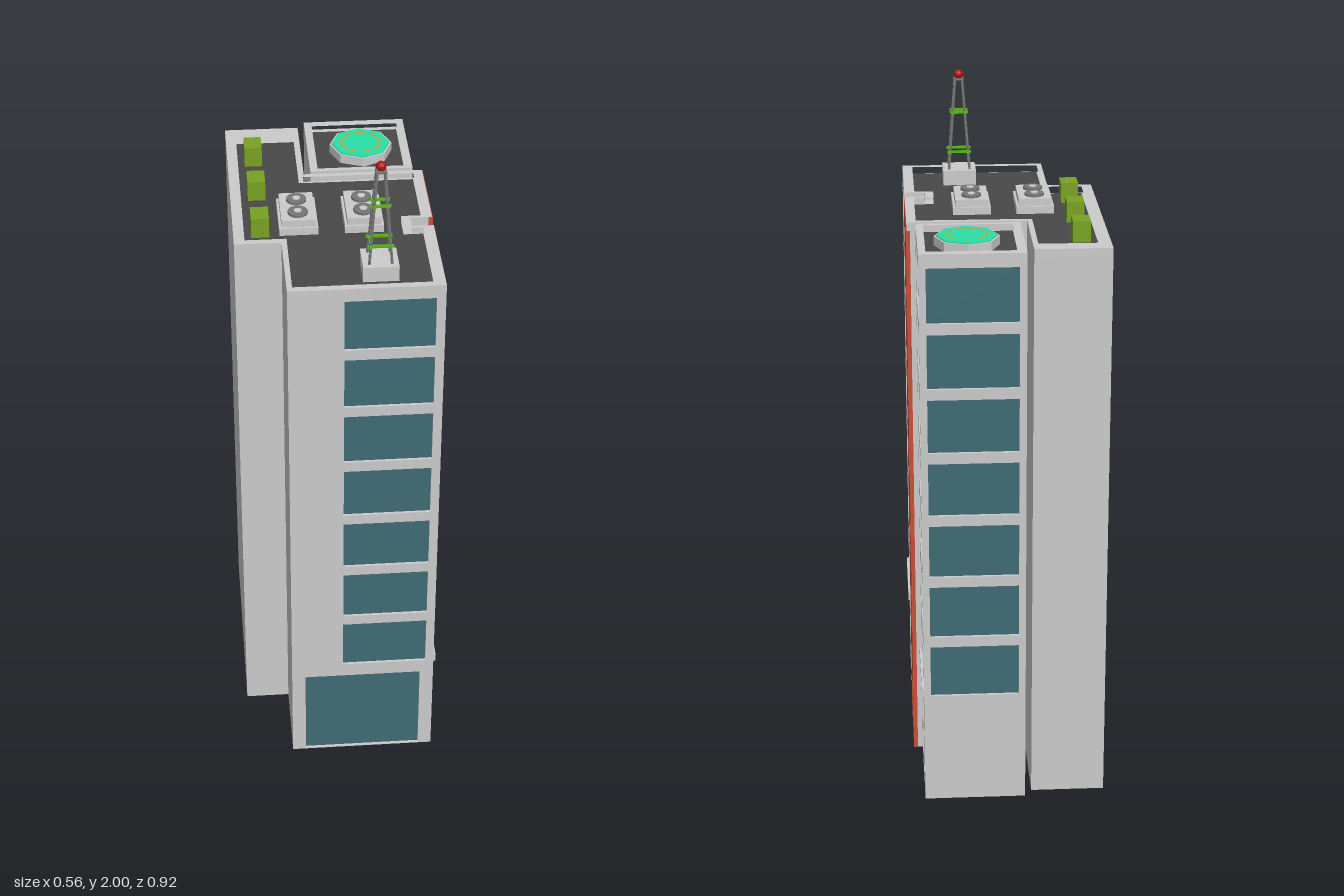
import * as THREE from 'three';

const mat = (color) => new THREE.MeshStandardMaterial({ color, flatShading: true });
const GREY = mat(0xcccccc), GLASS = mat(0x3f6b73), RED = mat(0xc94f38), ROOF = mat(0x484848);
const LIME = mat(0x78a322), PAD = mat(0x28dfa8), GOLD = mat(0xc9a32e), DARK = mat(0x777777);
const RUNG = mat(0x55b814), LAMP = mat(0xb01410);

const TOP = 1.68, DECK = 1.66, SKIN = 0.01;

export function createModel() {
  const model = new THREE.Group();
  const add = (name, geo, material, x = 0, y = 0, z = 0, parent = model) => {
    const mesh = new THREE.Mesh(geo, material);
    mesh.name = name;
    mesh.position.set(x, y, z);
    parent.add(mesh);
    return mesh;
  };
  const box = (name, w, h, d, material, x, y, z, parent) =>
    add(name, new THREE.BoxGeometry(w, h, d), material, x, y, z, parent);

  // Plan outlines are [x, z] pairs; slabs rise from y0 to y1
  const outline = (pts, Type = THREE.Shape) => new Type(pts.map(([x, z]) => new THREE.Vector2(x, -z)));
  const slab = (name, pts, y0, y1, material, hole) => {
    const shape = outline(pts);
    if (hole) shape.holes.push(outline(hole, THREE.Path));
    const geo = new THREE.ExtrudeGeometry(shape, { depth: y1 - y0, bevelEnabled: false });
    add(name, geo.rotateX(-Math.PI / 2), material, 0, y0, 0);
  };
  const rect = (x0, z0, x1, z1) => [[x0, z0], [x1, z0], [x1, z1], [x0, z1]];

  // Main block: e and f are the east and front wall planes
  const mainPlan = (e, f) => [[-0.28, -0.43], [-0.065, -0.43], [-0.065, -0.155], [e, -0.155], [e, 0.105],
    [0.215, 0.105], [0.215, 0.15], [e, 0.15], [e, f], [-0.15, f], [-0.15, 0.21], [-0.28, 0.21]];
  const mainDeck = [[-0.25, -0.38], [-0.08, -0.38], [-0.08, -0.14], [0.248, -0.138], [0.248, 0.095],
    [0.19, 0.095], [0.19, 0.16], [0.245, 0.16], [0.245, 0.435], [-0.135, 0.435], [-0.135, 0.19], [-0.25, 0.19]];
  slab('mainBlock', mainPlan(0.265, 0.445), 0, DECK - 0.005, GREY);
  slab('mainParapet', mainPlan(0.275, 0.455), DECK - 0.005, TOP, GREY, mainDeck);
  slab('mainRoof', mainDeck, DECK - 0.01, DECK, ROOF);

  // Rear tower with the landing pad
  const towerDeck = rect(-0.023, -0.435, 0.229, -0.185);
  slab('rearTower', rect(-0.045, -0.45, 0.24, -0.17), 0, DECK - 0.005, GREY);
  slab('towerParapet', rect(-0.045, -0.46, 0.25, -0.17), DECK - 0.005, TOP, GREY, towerDeck);
  slab('towerRoof', towerDeck, DECK - 0.01, DECK, ROOF);

  // Facade skin with openings [u0, v0, u1, v1, panes] and glass set behind them
  const facade = (name, angle, offset, u0, u1, top, openings, material, skin = SKIN) => {
    const group = new THREE.Group();
    group.name = name;
    group.rotation.y = angle;
    model.add(group);
    const corners = (a, b, c, d) => [[a, b], [c, b], [c, d], [a, d]].map((p) => new THREE.Vector2(...p));
    const shape = new THREE.Shape(corners(u0, 0, u1, top));
    for (const [a, b, c, d, n = 1] of openings) {
      const gap = 0.008, w = (c - a - gap * (n - 1)) / n;
      for (let i = 0; i < n; i++) {
        const s = a + i * (w + gap);
        shape.holes.push(new THREE.Path(corners(s, b, s + w, d)));
      }
      add('glass', new THREE.PlaneGeometry(c - a, d - b), GLASS, (a + c) / 2, (b + d) / 2, offset + 0.002, group);
    }
    const geo = new THREE.ExtrudeGeometry(shape, { depth: skin, bevelEnabled: false });
    add('wallSkin', geo, material, 0, 0, offset, group);
  };
  const rows = (u0, u1, count) => Array.from({ length: count }, (_, i) => {
    const top = 1.64 - i * 0.19;
    return [u0, top - 0.158, u1, top];
  });
  const lowWall = DECK - 0.005, EAST = Math.PI / 2;

  facade('frontFacade', 0, 0.445, -0.15, 0.275, lowWall,
    [...rows(0.003, 0.25, 7), [-0.11, 0.003, 0.235, 0.297]], GREY);
  facade('frontSideFacade', EAST, 0.265, -0.445, -0.15, lowWall,
    [...rows(-0.437, -0.19, 6), [-0.435, 0.36, -0.195, 0.5, 3], [-0.42, 0.003, -0.215, 0.285, 3]], GREY);
  facade('towerSideFacade', EAST, 0.24, 0.17, 0.45, lowWall,
    [...rows(0.192, 0.443, 6), [0.197, 0.36, 0.44, 0.5, 3], [0.2, 0.003, 0.4, 0.285, 3]], GREY);
  facade('towerBackFacade', Math.PI, 0.45, -0.25, 0.045, lowWall, rows(-0.23, 0.025, 7), GREY);

  // Red stair wall with staggered small windows
  const small = [[-0.08, 0.003, 0.128, 0.195, 3]];
  for (let i = 0; i < 5; i++) {
    small.push([-0.085, 0.323 + i * 0.28, -0.015, 0.42 + i * 0.28]);
    small.push([0.07, 0.407 + i * 0.243, 0.145, 0.503 + i * 0.243]);
  }
  facade('redStairWall', EAST, 0.265, -0.11, 0.155, TOP - 0.001, small, RED, 0.012);

  // Ledges above the shop doors
  box('frontLedge', 0.012, 0.022, 0.27, GREY, 0.276, 0.348, 0.318);
  box('towerLedge', 0.012, 0.022, 0.27, GREY, 0.25, 0.348, -0.32);

  // Rooftop green boxes
  for (const z of [-0.278, -0.085, 0.115]) box('greenRoofBox', 0.05, 0.06, 0.065, LIME, -0.205, 1.69, z);

  // Air conditioners with two fans and three pipes at each end
  for (const x of [-0.098, 0.084]) {
    const unit = new THREE.Group();
    unit.name = 'airConditioner';
    unit.position.set(x, DECK, 0.06);
    model.add(unit);
    box('casing', 0.108, 0.022, 0.164, GREY, 0, 0.011, 0, unit);
    box('casingTop', 0.095, 0.022, 0.15, GREY, 0, 0.032, 0, unit);
    for (const z of [-0.034, 0.034]) {
      add('fanRing', new THREE.CylinderGeometry(0.028, 0.028, 0.008, 20), DARK, 0, 0.046, z, unit);
      add('fanHub', new THREE.CylinderGeometry(0.011, 0.011, 0.01, 12), GREY, 0, 0.047, z, unit);
    }
    for (const px of [-0.018, 0, 0.018]) {
      const pipe = add('pipe', new THREE.CylinderGeometry(0.003, 0.003, 0.194, 8), GREY, px, 0.015, 0, unit);
      pipe.rotation.x = Math.PI / 2;
    }
  }

  // Octagonal landing pad
  add('padRim', new THREE.CylinderGeometry(0.091, 0.091, 0.026, 8), GREY, 0.112, 1.673, -0.312);
  add('padSurface', new THREE.CylinderGeometry(0.085, 0.085, 0.004, 8), PAD, 0.112, 1.687, -0.312);
  const ring = add('padRing', new THREE.RingGeometry(0.053, 0.059, 40), GOLD, 0.112, 1.6905, -0.312);
  ring.rotation.x = -Math.PI / 2;

  // Antenna mast: tapering legs, square rungs and a warning lamp
  const mast = new THREE.Group();
  mast.name = 'antennaMast';
  mast.position.set(0.106, 0, 0.345);
  model.add(mast);
  box('mastBase', 0.098, 0.045, 0.098, GREY, 0, 1.682, 0, mast);
  const half = (y) => 0.031 - (y - 1.7) * 0.075;
  for (const sx of [-1, 1]) for (const sz of [-1, 1]) {
    const at = (y) => new THREE.Vector3(sx * half(y), y, sz * half(y));
    add('mastLeg', new THREE.TubeGeometry(new THREE.LineCurve3(at(1.7), at(1.975)), 1, 0.004, 6), DARK, 0, 0, 0, mast);
  }
  for (const y of [1.757, 1.875]) {
    const h = half(y), len = 2 * h + 0.018;
    for (const s of [-1, 1]) {
      box('mastRung', len, 0.007, 0.007, RUNG, 0, y, s * h, mast);
      box('mastRung', 0.007, 0.007, len, RUNG, s * h, y, 0, mast);
    }
  }
  box('mastCap', 0.03, 0.006, 0.03, DARK, 0, 1.973, 0, mast);
  add('warningLamp', new THREE.SphereGeometry(0.014, 12, 8), LAMP, 0, 1.986, 0, mast);

  return model;
}
